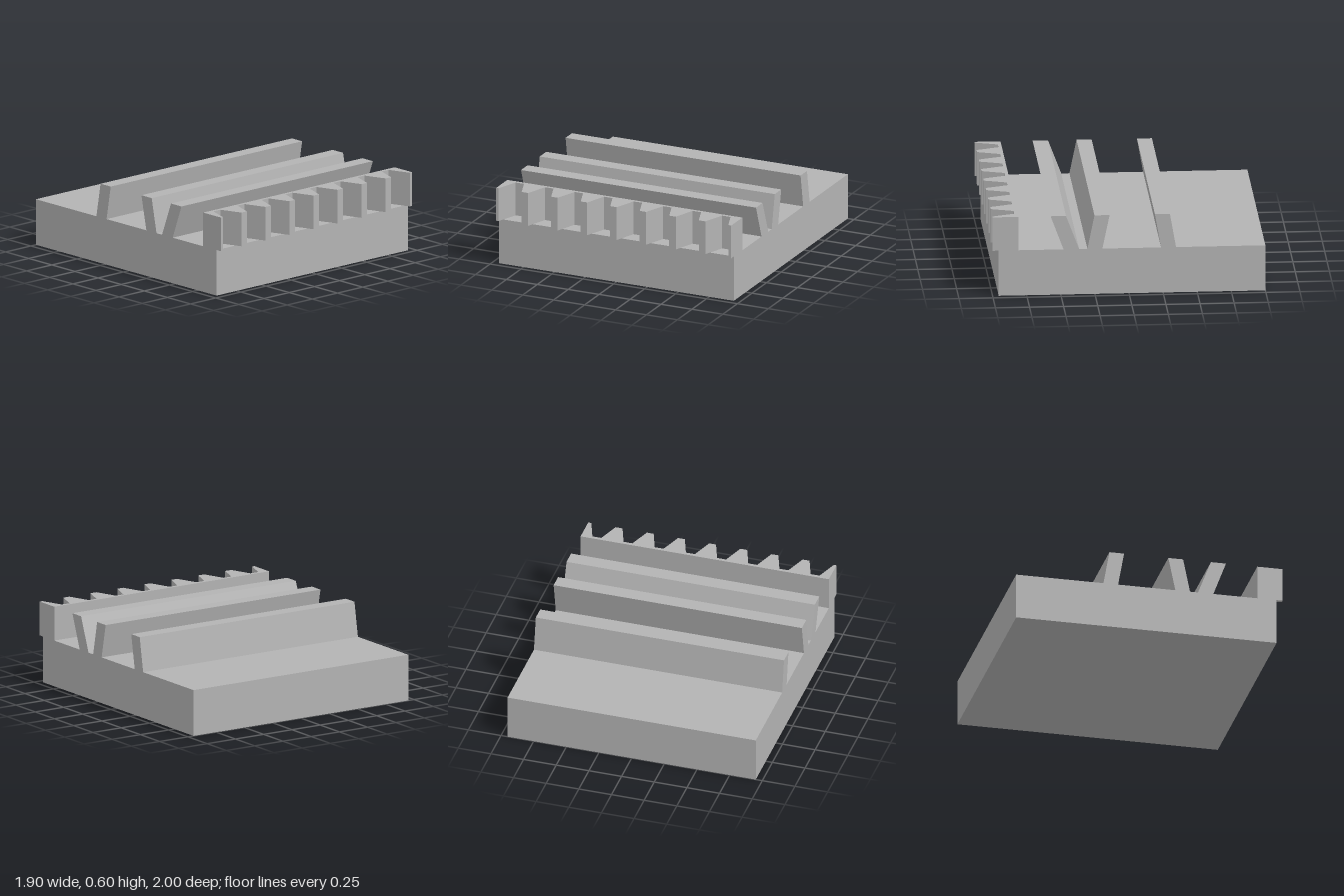
import * as THREE from 'three';

const HALF = 0.95;   // half width along x
const DECK = 0.345;  // top of the base
const TOP = 0.6;     // top of fins and teeth

const shapeOf = (pts) => new THREE.Shape(pts.map(([a, b]) => new THREE.Vector2(a, b)));

// Extrudes a (z, y) profile across the full width
function acrossWidth(profile) {
  const geo = new THREE.ExtrudeGeometry(shapeOf(profile), { depth: 2 * HALF, bevelEnabled: false });
  return geo.rotateY(-Math.PI / 2).translate(HALF, 0, 0);
}

export function createModel() {
  const grey = new THREE.MeshStandardMaterial({ color: 0xb3b3b3 });
  grey.name = 'grey';
  const group = new THREE.Group();
  group.name = 'rackBlock';

  const add = (name, geo) => {
    const mesh = new THREE.Mesh(geo, grey);
    mesh.name = name;
    group.add(mesh);
  };

  // Solid base slab
  add('base', acrossWidth([[-1, 0], [0.955, 0], [0.955, DECK], [-1, DECK]]));

  // Leaning fins: [name, bottom back, bottom front, top back, top front] along z
  const fins = [
    ['frontFin', 0.365, 0.48, 0.462, 0.575],
    ['middleFin', 0.195, 0.305, 0.142, 0.253],
    ['rearFin', -0.345, -0.235, -0.3, -0.19],
  ];
  for (const [name, b0, b1, t0, t1] of fins) {
    add(name, acrossWidth([[b0, DECK], [b1, DECK], [t1, TOP], [t0, TOP]]));
  }

  // Toothed rack along the front edge, drawn in plan as (x, -z)
  const pitch = 0.2386, tip = -1, root = -0.835;
  const plan = [[HALF, -0.81], [-HALF, -0.81], [-HALF, tip]];
  for (let i = 0; i < 8; i++) {
    const x = (i - 3.5) * pitch - 0.002;
    plan.push([x - 0.093, tip], [x - 0.034, root], [x + 0.034, root], [x + 0.093, tip]);
  }
  plan.push([HALF, tip]);
  const rack = new THREE.ExtrudeGeometry(shapeOf(plan), { depth: TOP - DECK, bevelEnabled: false });
  add('toothedRack', rack.rotateX(-Math.PI / 2).translate(0, DECK, 0));

  return group;
}
